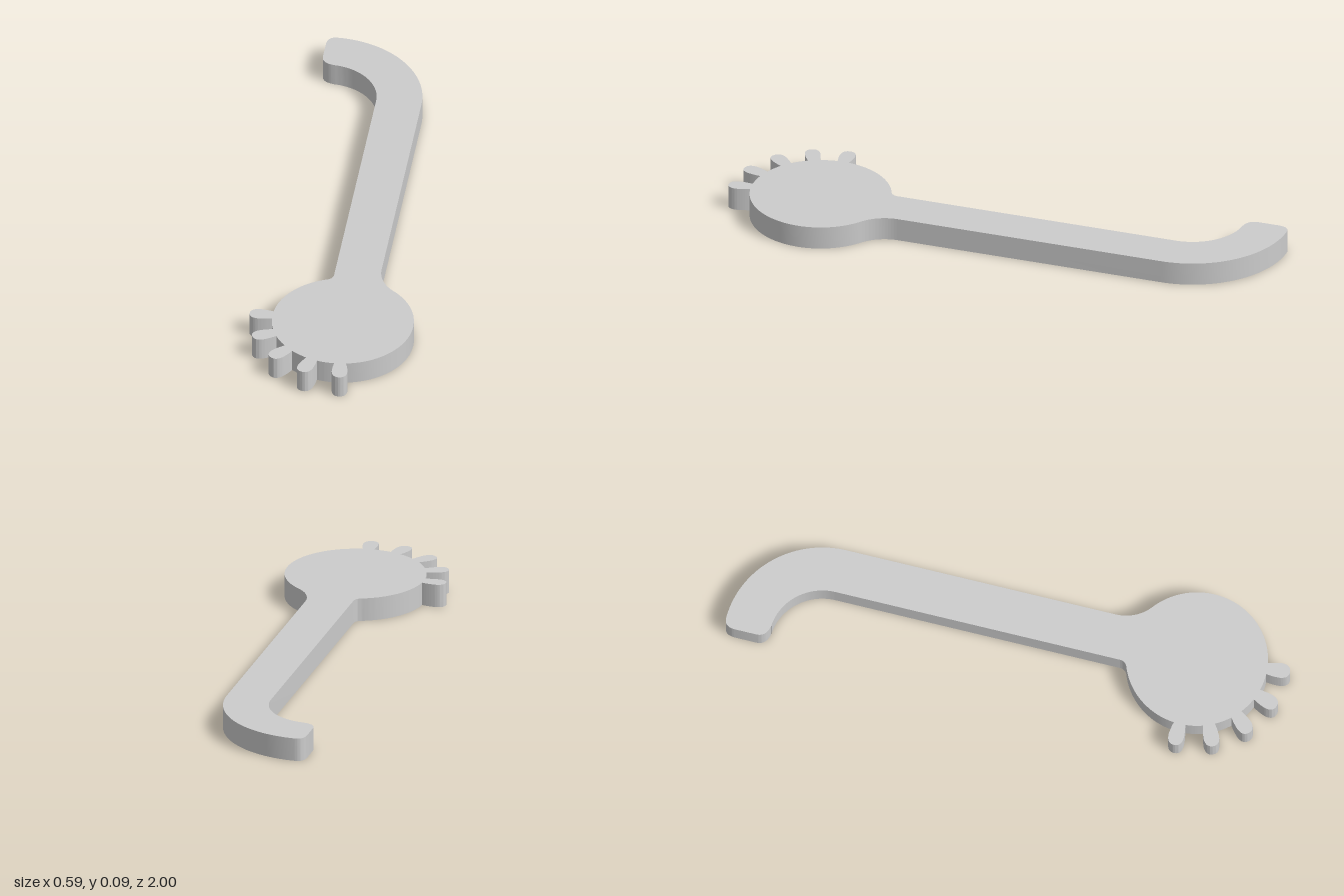
import * as THREE from 'three';
import { toCreasedNormals } from 'three/addons/utils/BufferGeometryUtils.js';

const HEIGHT = 0.085;
const DISC = { x: 0.04, y: -0.665, r: 0.253 };
const LEFT = -0.03, RIGHT = 0.133; // sides of the straight handle
const STEP = THREE.MathUtils.degToRad(24);

// Fillet circle touching the disc and a vertical side line at x
function fillet(x, r, side) {
  const cx = x + side * r;
  const dx = cx - DISC.x;
  const dy = Math.sqrt((DISC.r + r) ** 2 - dx * dx);
  return { x: cx, y: DISC.y + dy, r, angle: Math.atan2(dy, dx) };
}

// One rounded tooth pointing outwards from the disc at angle a
function addTooth(shape, a) {
  const p = (r, t) => [
    DISC.x + r * Math.cos(a) - t * Math.sin(a),
    DISC.y + r * Math.sin(a) + t * Math.cos(a),
  ];
  shape.lineTo(...p(0.252, -0.021));
  shape.quadraticCurveTo(...p(0.275, -0.027), ...p(0.3, -0.028));
  shape.quadraticCurveTo(...p(0.335, -0.027), ...p(0.335, 0));
  shape.quadraticCurveTo(...p(0.335, 0.027), ...p(0.3, 0.028));
  shape.quadraticCurveTo(...p(0.275, 0.027), ...p(0.252, 0.021));
}

function outline() {
  const s = new THREE.Shape();
  const fl = fillet(LEFT, 0.03, -1);
  const fr = fillet(RIGHT, 0.15, 1);

  // Handle into disc, left side
  s.moveTo(LEFT, fl.y);
  s.absarc(fl.x, fl.y, fl.r, 0, fl.angle - Math.PI, true);

  // Disc rim with five teeth
  const half = Math.asin(0.021 / DISC.r);
  let from = fl.angle;
  for (let i = 0; i < 5; i++) {
    const a = Math.PI + i * STEP;
    s.absarc(DISC.x, DISC.y, DISC.r, from, a - half, false);
    addTooth(s, a);
    from = a + half;
  }
  s.absarc(DISC.x, DISC.y, DISC.r, from, fr.angle + 2 * Math.PI, false);

  // Disc back into handle, right side
  s.absarc(fr.x, fr.y, fr.r, fr.angle + Math.PI, Math.PI, true);

  // Hooked end with rounded corners
  s.absarc(-0.22, 0.645, 0.353, 0, Math.PI / 2, false);
  s.quadraticCurveTo(-0.255, 0.998, -0.255, 0.955);
  s.lineTo(-0.255, 0.88);
  s.quadraticCurveTo(-0.255, 0.842, -0.21, 0.835);
  s.absarc(-0.22, 0.645, 0.19, Math.PI / 2 - 0.05, 0, true);
  s.closePath();
  return s;
}

export function createModel() {
  const group = new THREE.Group();
  group.name = 'toothedLever';

  // Flat plate: disc, teeth, handle and hook in one outline
  const geometry = new THREE.ExtrudeGeometry(outline(), {
    depth: HEIGHT, bevelEnabled: false, curveSegments: 20,
  });
  geometry.rotateX(-Math.PI / 2);

  const lever = new THREE.Mesh(
    toCreasedNormals(geometry, 0.6),
    new THREE.MeshStandardMaterial({ color: 0xcccccc }),
  );
  lever.name = 'leverPlate';
  group.add(lever);
  return group;
}
